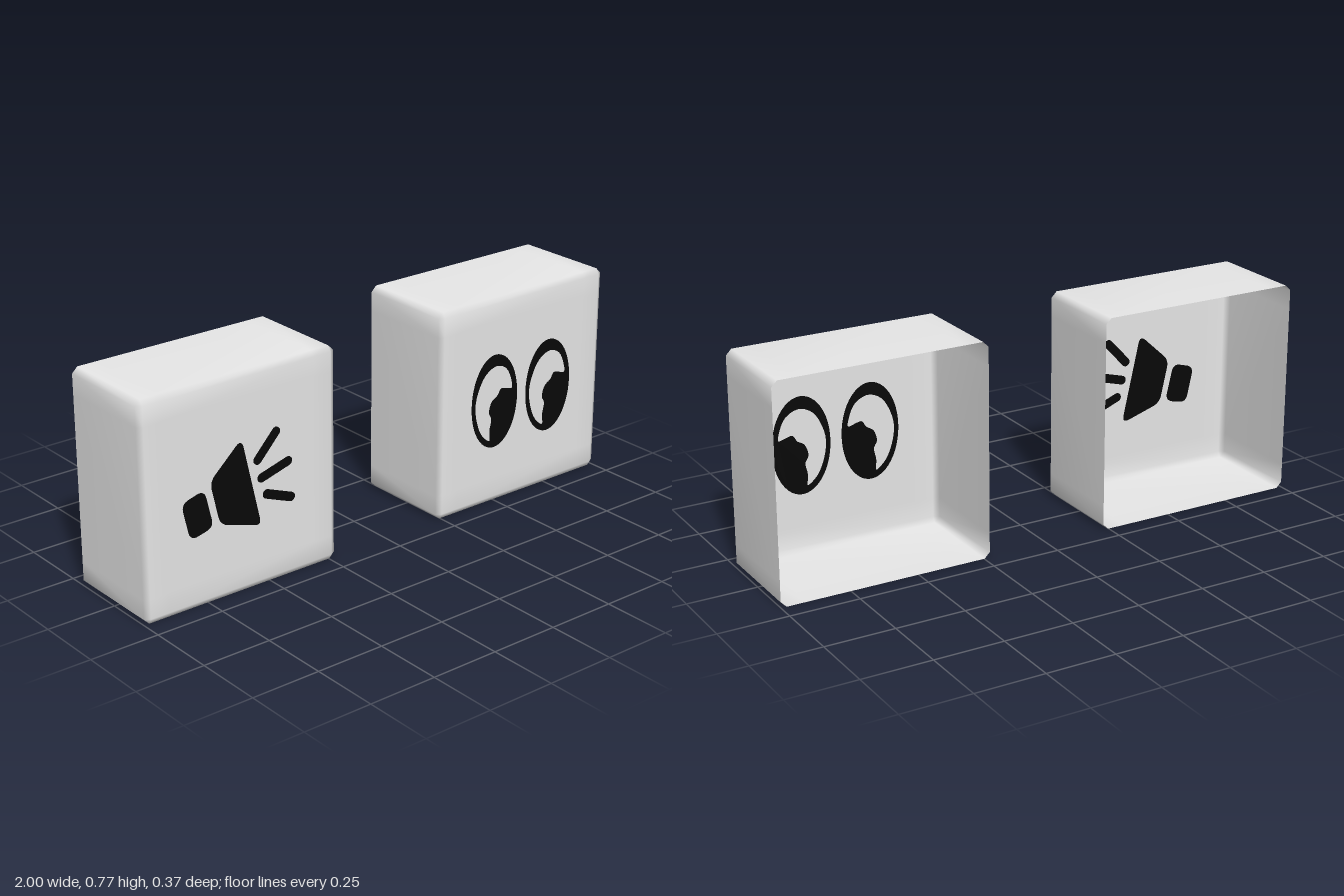
import * as THREE from 'three';

const H = 0.386;      // half width and height of a case
const B = 0.02;       // chamfer
const L = 0.09;       // distance of the support loops from the edge
const ZB = -0.183, ZE = 0.171, ZF = 0.183;
const CY = 0.387;

// Case open at the back, chamfered at the front and along the corners
function caseGeometry() {
  const pos = [], idx = [];
  const g = [-H + B, -H + L, H - L, H - B];
  const ring = (z, r) => {
    const start = pos.length / 3;
    for (let side = 0; side < 4; side++) {
      const c = [1, 0, -1, 0][side], s = [0, 1, 0, -1][side];
      for (const t of g) pos.push(c * r - s * t, s * r + c * t, z);
    }
    return start;
  };
  const back = ring(ZB, H), edge = ring(ZE, H);
  // Front panel grid
  const front = pos.length / 3;
  for (const y of g) for (const x of g) pos.push(x, y, ZF);
  for (let j = 0; j < 3; j++) for (let i = 0; i < 3; i++) {
    const a = front + j * 4 + i;
    idx.push(a, a + 1, a + 5, a, a + 5, a + 4);
  }
  // Walls and chamfers; border lists the panel's rim in ring order
  const border = [3, 7, 11, 15, 15, 14, 13, 12, 12, 8, 4, 0, 0, 1, 2, 3];
  for (let i = 0; i < 16; i++) {
    const n = (i + 1) % 16;
    idx.push(back + i, back + n, edge + n, back + i, edge + n, edge + i);
    const p = front + border[i], q = front + border[n];
    idx.push(edge + i, edge + n, q);
    if (p !== q) idx.push(edge + i, q, p);
  }
  const geo = new THREE.BufferGeometry();
  geo.setAttribute('position', new THREE.Float32BufferAttribute(pos, 3));
  geo.setIndex(idx);
  geo.computeVertexNormals();
  return geo;
}

// Polygon with rounded corners
function roundedShape(points, r) {
  const p = points.map(([x, y]) => new THREE.Vector2(x, y));
  const shape = new THREE.Shape();
  p.forEach((c, i) => {
    const toward = (o) => o.clone().sub(c).setLength(r).add(c);
    const a = toward(p[(i + p.length - 1) % p.length]);
    const b = toward(p[(i + 1) % p.length]);
    if (i === 0) shape.moveTo(a.x, a.y); else shape.lineTo(a.x, a.y);
    shape.quadraticCurveTo(c.x, c.y, b.x, b.y);
  });
  shape.closePath();
  return shape;
}

// Round-ended bar between two points
function barShape(x1, y1, x2, y2, r) {
  const a = Math.atan2(y2 - y1, x2 - x1), q = Math.PI / 2;
  const shape = new THREE.Shape();
  shape.absarc(x2, y2, r, a - q, a + q, false);
  shape.absarc(x1, y1, r, a + q, a + 3 * q, false);
  shape.closePath();
  return shape;
}

// Eye outline with the white of the eye cut out beside the pupil
function eyeShape() {
  const shape = new THREE.Shape();
  shape.absellipse(0, 0, 0.107, 0.175, 0, Math.PI * 2, false, 0);
  const white = [
    [-0.092, 0], [-0.077, 0.06], [-0.045, 0.11], [0.005, 0.132], [0.055, 0.11],
    [0.08, 0.06], [0.083, 0.03], [0.05, 0.038], [0.03, 0.04], [0.015, 0.018],
    [-0.012, 0], [-0.024, -0.04], [-0.012, -0.065], [-0.02, -0.11],
    [-0.018, -0.148], [-0.055, -0.12], [-0.08, -0.07],
  ].map(([x, y]) => new THREE.Vector3(x, y, 0));
  const curve = new THREE.CatmullRomCurve3(white, true);
  shape.holes.push(new THREE.Path(curve.getPoints(60).slice(0, -1).map((v) => new THREE.Vector2(v.x, v.y))));
  return shape;
}

export function createModel() {
  const model = new THREE.Group();
  model.name = 'iconBlocks';

  const grey = new THREE.MeshStandardMaterial({ color: 0xe7e7e7, side: THREE.DoubleSide });
  grey.name = 'pale grey';
  const black = new THREE.MeshStandardMaterial({ color: 0x080808 });
  black.name = 'black';

  // Thin plate passing through the front panel, so it shows inside too
  const addPlate = (name, shape, x = 0, y = 0) => {
    const geo = new THREE.ExtrudeGeometry(shape, { depth: 0.006, bevelEnabled: false, curveSegments: 24 });
    const mesh = new THREE.Mesh(geo, black);
    mesh.name = name;
    mesh.position.set(x, y, ZF - 0.003);
    model.add(mesh);
  };

  // Two cases
  const geo = caseGeometry();
  for (const [name, s] of [['rightCase', -1], ['leftCase', 1]]) {
    const mesh = new THREE.Mesh(geo, grey);
    mesh.name = name;
    mesh.position.set(s * (1 - H), CY, 0);
    model.add(mesh);
  }

  // Megaphone icon
  addPlate('megaphoneHorn', roundedShape(
    [[-0.738, 0.43], [-0.612, 0.545], [-0.54, 0.22], [-0.702, 0.27]], 0.03));
  addPlate('megaphoneMouthpiece', roundedShape(
    [[-0.85, 0.385], [-0.762, 0.41], [-0.73, 0.272], [-0.82, 0.25]], 0.03));
  const rays = [
    [-0.55, 0.455, -0.475, 0.535], [-0.535, 0.388, -0.428, 0.418], [-0.515, 0.325, -0.418, 0.287],
  ];
  rays.forEach((r, i) => addPlate('soundRay' + (i + 1), barShape(...r, 0.016)));

  // Eyes icon
  addPlate('innerEye', eyeShape(), 0.486, 0.39);
  addPlate('outerEye', eyeShape(), 0.743, 0.387);

  return model;
}
